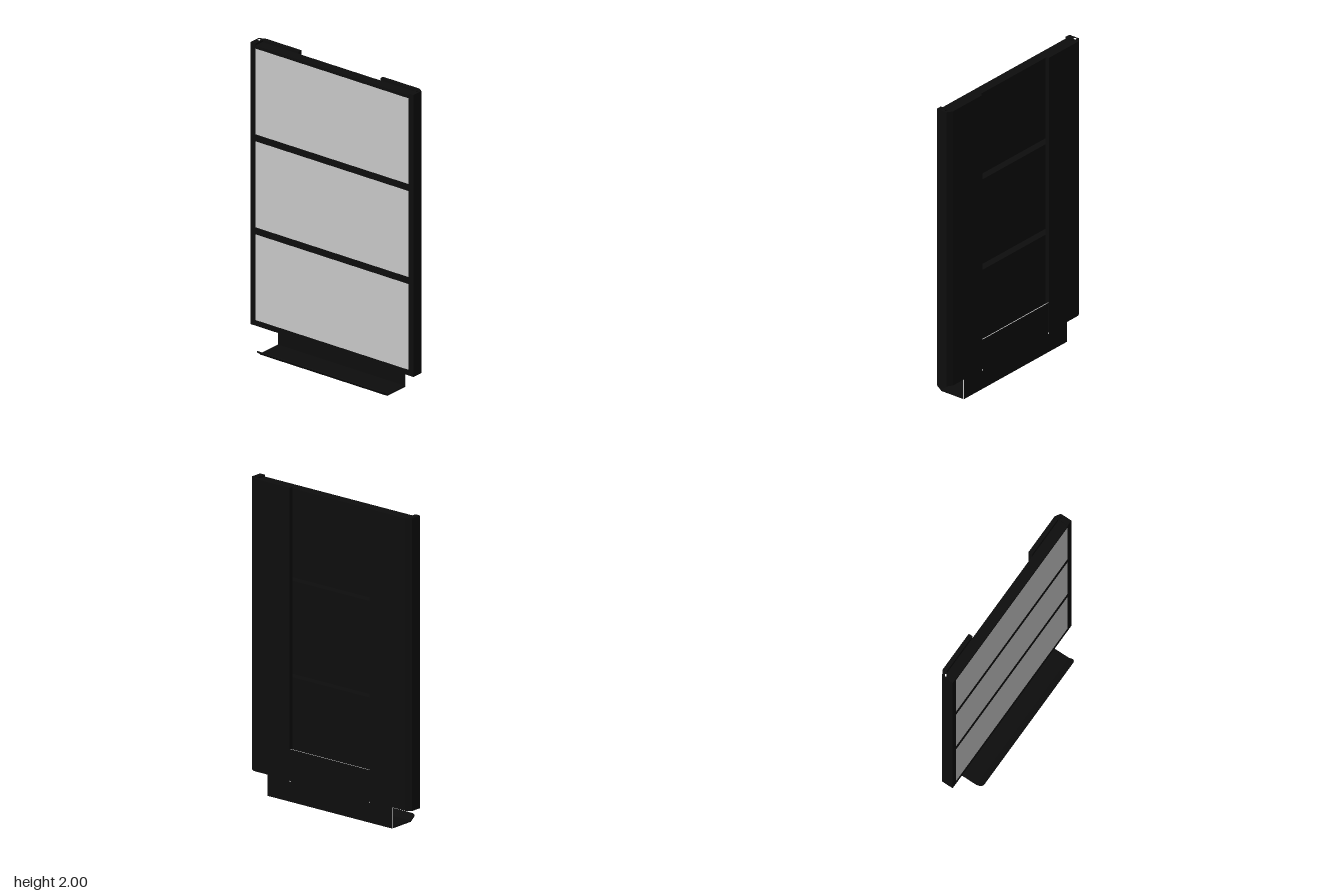
import * as THREE from 'three';

export function createModel() {
  const black = new THREE.MeshStandardMaterial({ color: 0x0d0d0d });
  black.name = 'matte black';
  const grey = new THREE.MeshStandardMaterial({ color: 0xc8c8c8 });
  grey.name = 'light grey';

  const model = new THREE.Group();
  model.name = 'wallPanel';

  const add = (name, geometry, material) => {
    const mesh = new THREE.Mesh(geometry, material);
    mesh.name = name;
    model.add(mesh);
    return mesh;
  };
  // Box given by its limits
  const box = (name, x0, x1, y0, y1, z0, z1, material = black) =>
    add(name, new THREE.BoxGeometry(x1 - x0, y1 - y0, z1 - z0), material)
      .position.set((x0 + x1) / 2, (y0 + y1) / 2, (z0 + z1) / 2);
  const polygon = pts => new THREE.Shape(pts.map(([x, y]) => new THREE.Vector2(x, y)));
  const circle = (x, y, r) => new THREE.Path().absarc(x, y, r, 0, Math.PI * 2, true);
  const extrude = (shape, depth) =>
    new THREE.ExtrudeGeometry(shape, { depth, bevelEnabled: false, curveSegments: 10 });

  const bottom = 0.136, top = 2, barTop = 1.988;
  const front = -0.013, back = -0.112, inner = 0.597;

  // Side rails: upright, chamfered corner and rear cover in one section (x, -z)
  for (const s of [1, -1]) {
    const section = polygon([
      [inner, 0.013], [0.635, 0.013], [0.635, 0.09], [0.6, 0.112], [0.318, 0.112],
      [0.318, 0.085], [inner, 0.085],
    ].map(([x, d]) => [s * x, d]));
    section.holes.push(circle(s * 0.616, 0.073, 0.009));
    const rail = extrude(section, top - bottom);
    rail.rotateX(-Math.PI / 2);
    rail.translate(0, bottom, 0);
    add(s > 0 ? 'leftRail' : 'rightRail', rail, black);
  }

  // Cross bars between the rails
  for (const [y0, y1] of [[bottom, 0.172], [0.74, 0.785], [1.355, 1.4], [1.968, barTop]])
    box('crossBar', -inner, inner, y0, y1, -0.08, front);

  // Grey face panels on dark backing boards
  for (const [y0, y1] of [[0.172, 0.74], [0.785, 1.355], [1.4, 1.968]]) {
    box('backingBoard', -inner, inner, y0, y1, -0.03, -0.021);
    box('facePanel', -inner, inner, y0, y1, -0.021, -0.015, grey);
  }

  // Tray mounting plate, stepped in between the rear covers, with bare edges
  const plate = polygon([
    [-0.495, 0], [0.495, 0], [0.495, bottom], [0.318, bottom],
    [0.318, 0.335], [-0.318, 0.335], [-0.318, bottom], [-0.495, bottom],
  ]);
  for (const s of [1, -1]) plate.holes.push(circle(s * 0.316, 0.129, 0.005));
  const plateGeometry = extrude(plate, 0.006);
  plateGeometry.translate(0, 0, -0.11);
  add('trayPlate', plateGeometry, [black, grey]);

  // Tray floor
  box('trayFloor', -0.495, 0.495, 0, 0.008, -0.104, 0.067);

  // Upturned lip with rounded front corners
  const w = 0.495, len = 0.056, r = 0.022;
  const lipShape = polygon([[-w, 0], [w, 0], [w, len - r]]);
  lipShape.absarc(w - r, len - r, r, 0, Math.PI / 2, false);
  lipShape.absarc(-w + r, len - r, r, Math.PI / 2, Math.PI, false);
  const lip = add('trayLip', extrude(lipShape, 0.007), black);
  lip.rotation.x = 0.92;
  lip.position.set(0, 0.007, 0.062);

  return model;
}
